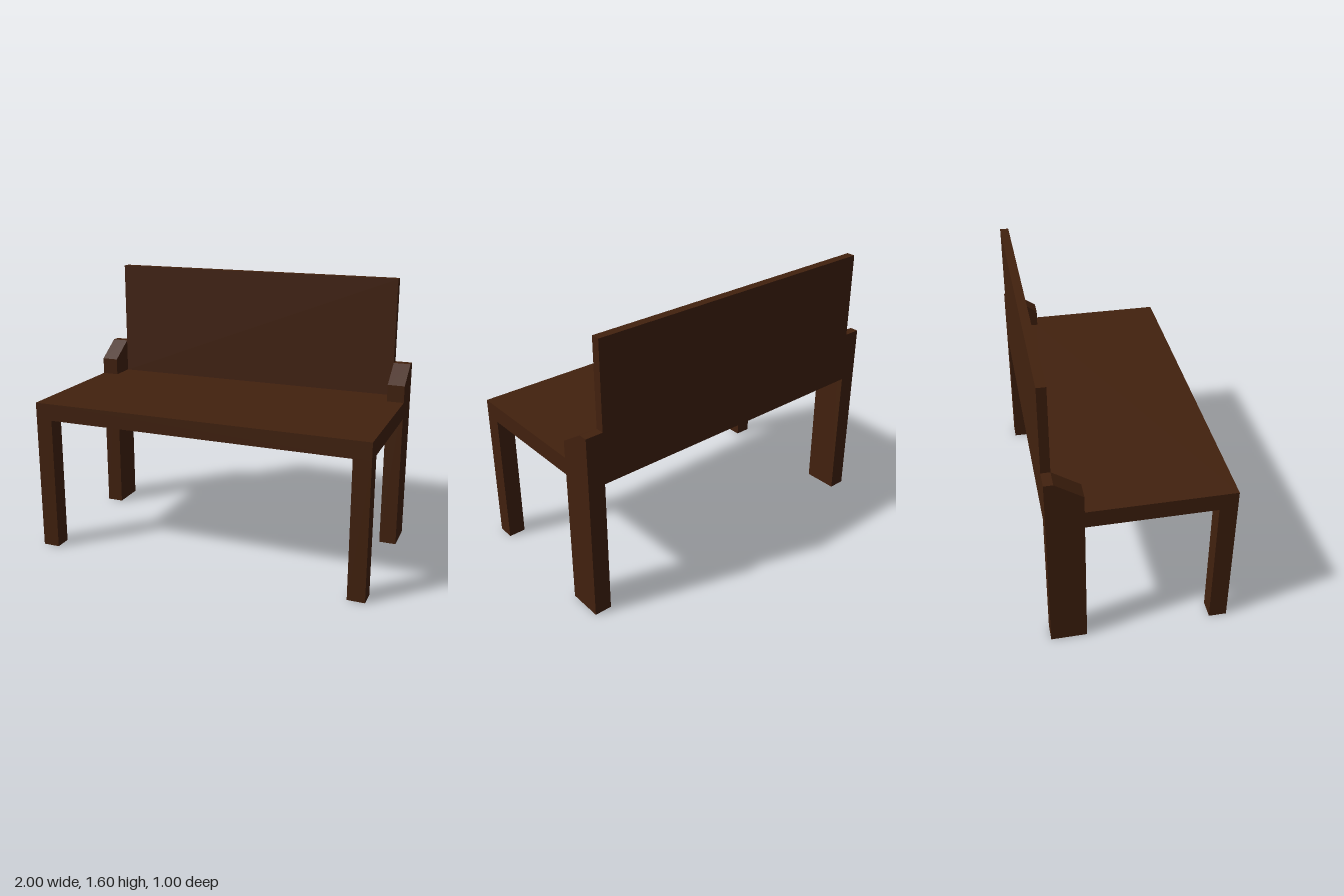
import * as THREE from 'three';

export function createModel() {
  const bench = new THREE.Group();
  bench.name = 'bench';
  const wood = new THREE.MeshStandardMaterial({ color: 0x42210e });
  wood.name = 'darkWood';

  const add = (name, geometry, x, y, z) => {
    const mesh = new THREE.Mesh(geometry, wood);
    mesh.name = name;
    mesh.position.set(x, y, z);
    bench.add(mesh);
  };
  const extrude = (points, depth) => new THREE.ExtrudeGeometry(
    new THREE.Shape(points.map(([x, y]) => new THREE.Vector2(x, y))),
    { depth, bevelEnabled: false });

  // Seat board, notched at the back corners around the posts
  const seat = extrude([
    [-1, -0.5], [1, -0.5], [1, 0.3], [0.9, 0.3],
    [0.9, 0.5], [-0.9, 0.5], [-0.9, 0.3], [-1, 0.3],
  ], 0.1).rotateX(-Math.PI / 2);
  add('seat', seat, 0, 0.8, 0);

  // Upright back panel, flush with the rear edge of the seat
  add('backrest', new THREE.BoxGeometry(1.8, 0.7, 0.05), 0, 1.25, -0.475);

  // Rear post side profile (z, y) with a sloped top
  const post = extrude([
    [-0.5, 0], [-0.3, 0], [-0.3, 1], [-0.45, 1.1], [-0.5, 1.1],
  ], 0.1).rotateY(-Math.PI / 2).translate(0.05, 0, 0);
  const leg = new THREE.BoxGeometry(0.1, 0.8, 0.1);

  for (const [side, s] of [['left', 1], ['right', -1]]) {
    add(`${side}FrontLeg`, leg, s * 0.95, 0.4, 0.45);
    add(`${side}RearPost`, post, s * 0.95, 0, 0);
  }
  return bench;
}
